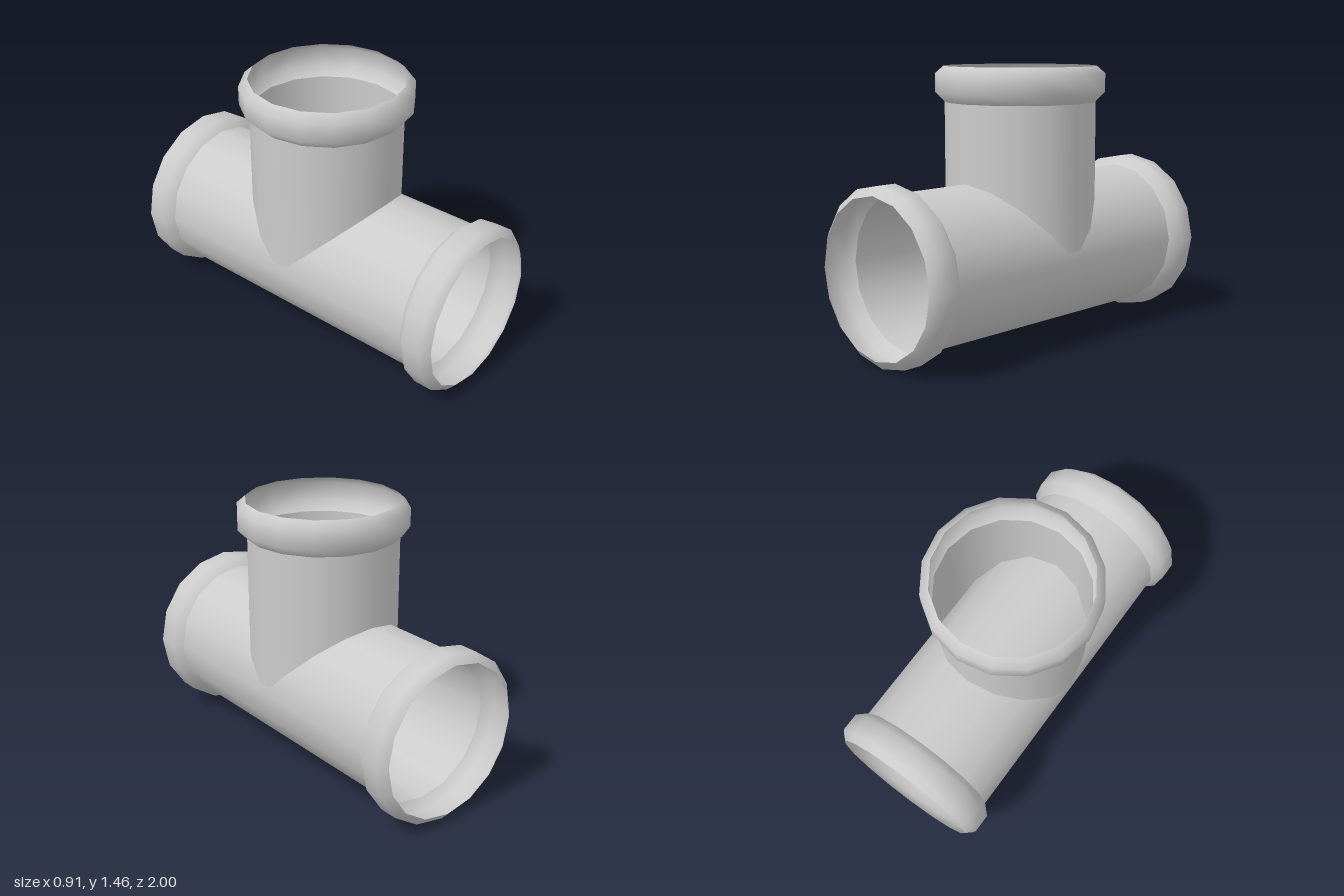
import * as THREE from 'three';

const SIDES = 16;
const PIPE_R = 0.405;
const COLLAR_R = 0.455;
const AXIS_Y = COLLAR_R; // height of the main pipe's axis

const material = new THREE.MeshStandardMaterial({ color: 0xcccccc, side: THREE.DoubleSide });

// Thin shell turned around y from [radius, height] pairs, bottom to top
function shell(name, profile) {
  const points = profile.map(([r, y]) => new THREE.Vector2(r, y));
  const mesh = new THREE.Mesh(new THREE.LatheGeometry(points, SIDES), material);
  mesh.name = name;
  return mesh;
}

// Bulged, open socket whose mouth lies at height `end`
function collar(name, end) {
  return shell(name, [
    [PIPE_R, end - 0.19],
    [COLLAR_R, end - 0.14],
    [COLLAR_R, end - 0.04],
    [PIPE_R + 0.004, end],
  ]);
}

export function createModel() {
  const tee = new THREE.Group();
  tee.name = 'pipeTee';

  // Main run, lying along z, with a socket at each end
  const run = new THREE.Group();
  run.name = 'mainRun';
  run.position.y = AXIS_Y;
  run.rotation.x = Math.PI / 2;
  run.add(shell('mainPipe', [[PIPE_R, -0.81], [PIPE_R, 0.81]]));
  run.add(collar('frontCollar', 1));
  const back = collar('backCollar', 1);
  back.rotation.x = Math.PI;
  run.add(back);
  tee.add(run);

  // Upright branch, pushed into the main run
  const branch = new THREE.Group();
  branch.name = 'branch';
  branch.add(shell('branchPipe', [[PIPE_R, 0.505], [PIPE_R, 1.27]]));
  branch.add(collar('branchCollar', 1.46));
  tee.add(branch);

  return tee;
}
